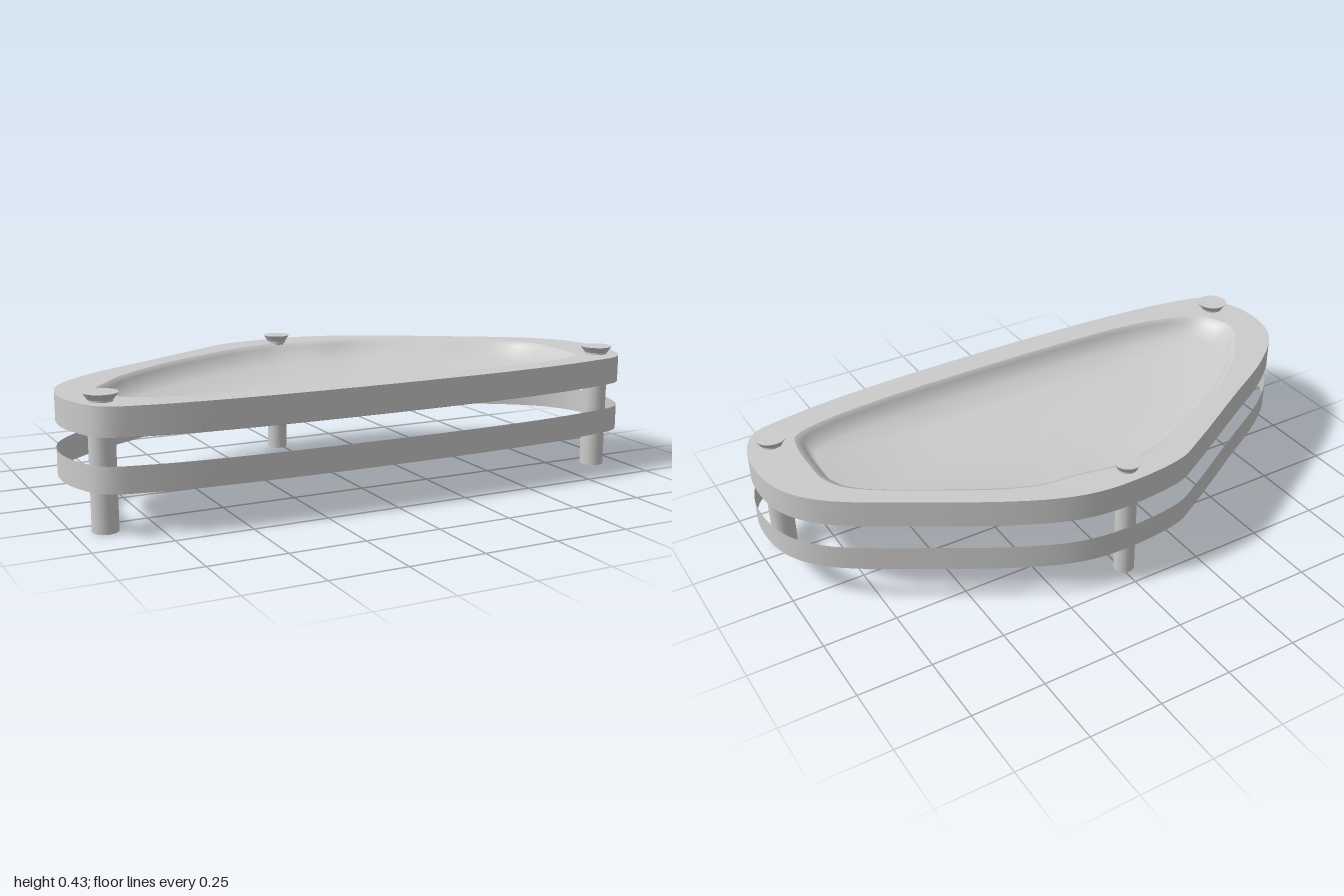
import * as THREE from 'three';

const SEG = 132;
const material = new THREE.MeshStandardMaterial({ color: 0xcccccc, side: THREE.DoubleSide });

// Plan outlines as [x, z], clockwise from the back; both share point order
const OUTER = [[0, -0.48], [0.15, -0.47], [0.3, -0.42], [0.62, -0.24], [0.9, -0.05], [0.98, 0.07],
  [1, 0.2], [0.985, 0.31], [0.93, 0.4], [0.78, 0.44], [0.43, 0.475], [-0.43, 0.475], [-0.8, 0.44],
  [-0.93, 0.4], [-0.98, 0.31], [-1, 0.2], [-0.98, 0.08], [-0.93, 0], [-0.8, -0.11], [-0.58, -0.24],
  [-0.29, -0.41], [-0.2, -0.455]];
const LIP = [[-0.03, -0.375], [0.13, -0.35], [0.28, -0.33], [0.55, -0.19], [0.78, -0.03], [0.82, 0.05],
  [0.825, 0.14], [0.82, 0.25], [0.8, 0.31], [0.71, 0.345], [0.43, 0.375], [-0.37, 0.378], [-0.62, 0.355],
  [-0.77, 0.31], [-0.83, 0.26], [-0.86, 0.19], [-0.85, 0.13], [-0.79, 0.05], [-0.72, -0.03], [-0.5, -0.19],
  [-0.22, -0.33], [-0.12, -0.36]];

// Smooth closed outline sampled to SEG points
function outline(points) {
  const curve = new THREE.CatmullRomCurve3(points.map(([x, z]) => new THREE.Vector3(x, 0, z)), true);
  return curve.getPoints(SEG).slice(0, SEG);
}

// Scale an outline about the bowl centre and lift it to height y
const CENTRE_Z = 0.13;
function ring(points, y, sx = 1, sz = sx) {
  return points.map((p) => new THREE.Vector3(p.x * sx, y, CENTRE_Z + (p.z - CENTRE_Z) * sz));
}

// Skin a list of closed rings
function loft(rings) {
  const index = [];
  for (let i = 0; i < rings.length - 1; i++) {
    for (let j = 0; j < SEG; j++) {
      const k = (j + 1) % SEG;
      const a = i * SEG + j, a2 = i * SEG + k, b = a + SEG, b2 = a2 + SEG;
      index.push(a, a2, b2, a, b2, b);
    }
  }
  const geometry = new THREE.BufferGeometry().setFromPoints(rings.flat());
  geometry.setIndex(index);
  geometry.computeVertexNormals();
  return geometry;
}

function addMesh(parent, name, geometry) {
  const mesh = new THREE.Mesh(geometry, material);
  mesh.name = name;
  parent.add(mesh);
  return mesh;
}

export function createModel() {
  const model = new THREE.Group();
  model.name = 'trayTable';
  const outer = outline(OUTER);
  const lip = outline(LIP);

  // Tray: bowl and rim, edge wall, flat underside
  const tray = new THREE.Group();
  tray.name = 'tray';
  model.add(tray);
  addMesh(tray, 'trayBowl', loft([
    ring(lip, 0.315, 0.001), ring(lip, 0.318, 0.5), ring(lip, 0.33, 0.95, 0.9),
    ring(lip, 0.385, 0.99, 0.98), ring(lip, 0.398, 1.02, 1.03),
  ]));
  addMesh(tray, 'trayRim', loft([ring(lip, 0.398, 1.02, 1.03), ring(outer, 0.4)]));
  addMesh(tray, 'trayEdge', loft([ring(outer, 0.4), ring(outer, 0.308)]));
  addMesh(tray, 'trayUnderside', loft([ring(outer, 0.308), ring(outer, 0.305, 0.98), ring(outer, 0.305, 0.001)]));

  // Thin open band below the tray
  addMesh(model, 'lowerBand', loft([ring(outer, 0.222), ring(outer, 0.138)]));

  // Three posts, each with a flared cap above the rim
  const posts = [
    ['rightPost', -0.905, 0.318, 0.041], ['leftPost', 0.9, 0.318, 0.041], ['backPost', -0.013, -0.412, 0.035],
  ];
  for (const [name, x, z, r] of posts) {
    const post = new THREE.Group();
    post.name = name;
    post.position.set(x, 0, z);
    addMesh(post, 'postShaft', new THREE.CylinderGeometry(r, r, 0.395, 24)).position.y = 0.1975;
    addMesh(post, 'postNeck', new THREE.CylinderGeometry(r * 0.92, r * 0.92, 0.02, 24)).position.y = 0.398;
    addMesh(post, 'postCap', new THREE.CylinderGeometry(r * 1.32, r * 0.98, 0.02, 24)).position.y = 0.416;
    model.add(post);
  }
  return model;
}
